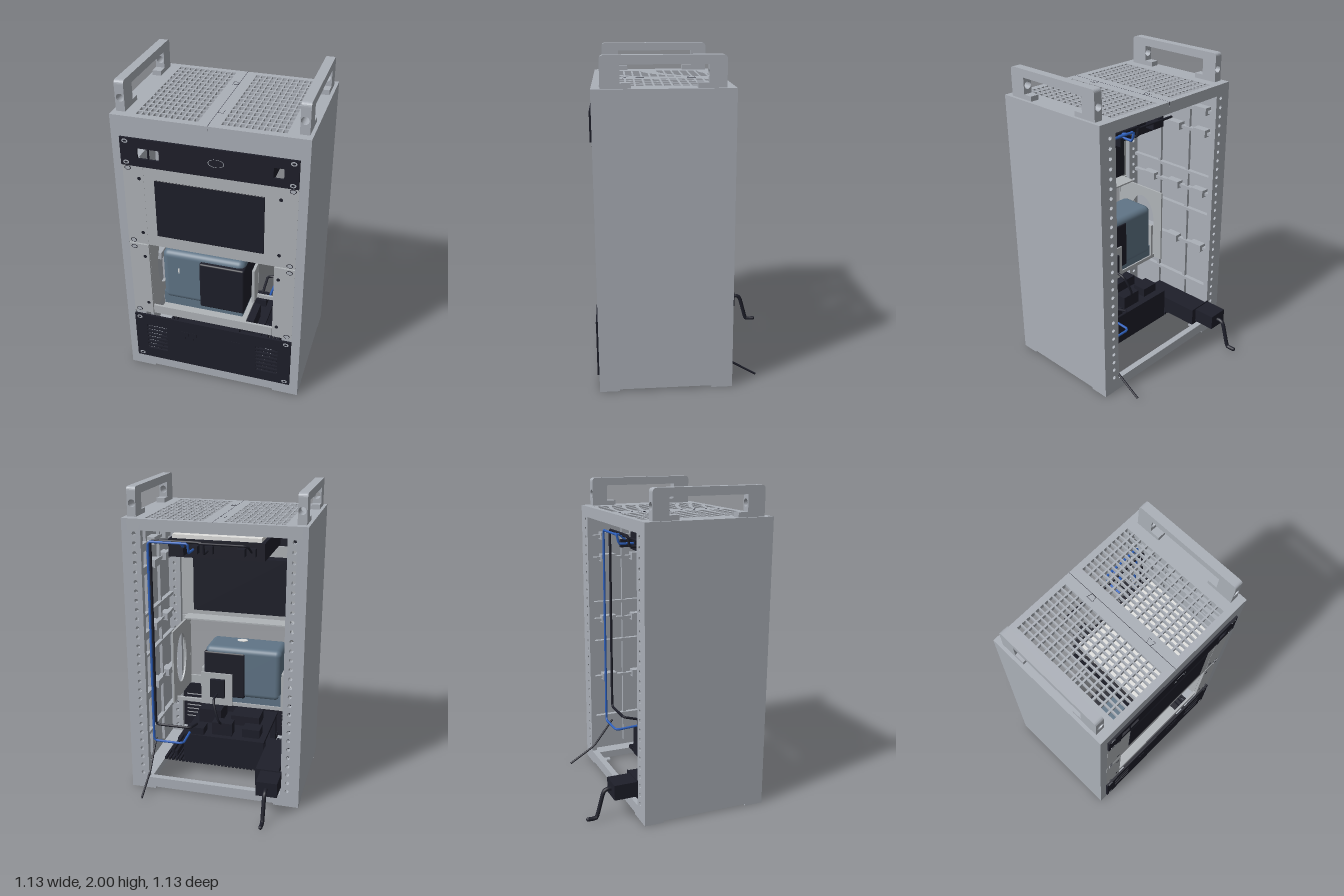
import * as THREE from 'three';
import { RoundedBoxGeometry } from 'three/addons/geometries/RoundedBoxGeometry.js';

const mat = (name, color) => Object.assign(new THREE.MeshStandardMaterial({ color }), { name });
const M = {
  grey: mat('case grey', 0xabb0b8),
  pale: mat('panel grey', 0xb0b4b8),
  black: mat('equipment black', 0x1e1f2a),
  slate: mat('slate blue', 0x607587),
  light: mat('light housing', 0xe2e2e0),
  blue: mat('cable blue', 0x2f62c0),
};

export function createModel() {
  const root = new THREE.Group();
  const add = (name, geo, m) => {
    const mesh = new THREE.Mesh(geo, m);
    mesh.name = name;
    root.add(mesh);
    return mesh;
  };
  // box given by its limits
  const box = (name, m, x0, x1, y0, y1, z0, z1, round = 0) => {
    const s = [x1 - x0, y1 - y0, z1 - z0];
    const g = round ? new RoundedBoxGeometry(...s, 4, round) : new THREE.BoxGeometry(...s);
    return add(name, g.translate((x0 + x1) / 2, (y0 + y1) / 2, (z0 + z1) / 2), m);
  };
  const rect = (x0, x1, y0, y1, T = THREE.Path) => new T([[x0, y0], [x1, y0], [x1, y1], [x0, y1]]
    .map(p => new THREE.Vector2(...p)));
  const oval = (x, y, rx, ry = rx) => {
    const p = new THREE.Path();
    p.absellipse(x, y, rx, ry, 0, Math.PI * 2);
    return p;
  };
  const extrude = (shape, depth, holes = [], curveSegments = 6) => {
    shape.holes.push(...holes);
    return new THREE.ExtrudeGeometry(shape, { depth, bevelEnabled: false, curveSegments });
  };
  // upright plate facing z, with holes
  const plate = (name, m, x0, x1, y0, y1, z0, z1, holes = [], seg = 6) =>
    add(name, extrude(rect(x0, x1, y0, y1, THREE.Shape), z1 - z0, holes, seg).translate(0, 0, z0), m);
  // thin disc whose face sits just in front of z
  const disc = (name, m, x, y, z, r, sx = 1) =>
    add(name, new THREE.CylinderGeometry(r, r, 0.002, 16).rotateX(Math.PI / 2).scale(sx, 1, 1).translate(x, y, z), m);
  const cable = (name, m, r, pts, tension = 0.1) => add(name, new THREE.TubeGeometry(
    new THREE.CatmullRomCurve3(pts.map(p => new THREE.Vector3(...p)), false, 'catmullrom', tension),
    pts.length * 10, r, 8, false), m);
  // mirrored limits along x
  const span = (s, a, b) => (s > 0 ? [a, b] : [-b, -a]);

  // Case walls, rails, ribs and feet
  for (const s of [1, -1]) {
    box('sideWall', M.grey, ...span(s, 0.53, 0.565), 0.012, 1.82, -0.255, 0.55);
    box('frontStile', M.grey, ...span(s, 0.512, 0.53), 0.012, 1.79, 0.5, 0.55);
    const railHoles = () => Array.from({ length: 28 }, (_, i) => oval(s * 0.487, 0.11 + i * 0.06, 0.013));
    plate('rearRail', M.grey, ...span(s, 0.445, 0.53), 0.012, 1.79, -0.255, -0.22, railHoles(), 4);
    plate('frontRail', M.grey, ...span(s, 0.445, 0.512), 0.012, 1.79, 0.5, 0.534, railHoles(), 4);
    for (const y of [0.3, 0.6, 0.86, 1.02, 1.14, 1.45, 1.6])
      box('wallRib', M.grey, ...span(s, 0.5, 0.53), y, y + 0.02, -0.22, 0.5);
    for (const y of [0.6, 1.02, 1.45, 1.6]) for (const z of [-0.1, 0.12, 0.34])
      box('supportBlock', M.grey, ...span(s, 0.475, 0.53), y - 0.01, y + 0.04, z - 0.05, z + 0.05);
    for (const z of [0.02, 0.27])
      box('wallRib', M.grey, ...span(s, 0.51, 0.53), 0.1, 1.78, z - 0.012, z + 0.012);
    for (const [a, b] of [[0.43, 0.55], [-0.255, -0.13]])
      box('foot', M.grey, ...span(s, 0.4, 0.565), 0, 0.012, a, b);
  }
  box('frontLintel', M.grey, -0.512, 0.512, 1.69, 1.79, 0.515, 0.55);
  box('frontSill', M.grey, -0.512, 0.512, 0.012, 0.088, 0.5, 0.55);
  box('rearSill', M.grey, -0.53, 0.53, 0.012, 0.08, -0.255, -0.215);
  box('rearLintel', M.grey, -0.53, 0.53, 1.75, 1.79, -0.255, -0.23);
  box('bottomCrossBar', M.grey, -0.53, 0.53, 0.012, 0.06, 0.24, 0.31);
  for (const s of [1, -1]) box('bottomSideBar', M.grey, ...span(s, 0.44, 0.53), 0.012, 0.06, -0.22, 0.5);

  // Perforated roof in two halves
  for (const s of [1, -1]) {
    const holes = [];
    for (let i = 0; i < 11; i++) for (let j = 0; j < 14; j++) {
      const x = 0.065 + i * 0.0336, z = -0.217 + j * 0.0525;
      holes.push(rect(...span(s, x, x + 0.025), -z - 0.041, -z));
    }
    add('roofHalf', extrude(rect(...span(s, 0.001, 0.53), -0.55, 0.255, THREE.Shape), 0.03, holes)
      .rotateX(-Math.PI / 2).translate(0, 1.79, 0), M.grey);
  }
  box('roofSeam', M.black, -0.001, 0.001, 1.8, 1.8203, -0.255, 0.55);
  for (const [x, z, d] of [[-0.018, -0.058, 1], [0.016, 0.348, -1]]) {
    const outline = (T, w, a, b) => new T([[-w, -a], [w, -b], [w, b], [-w, a]]
      .map(([u, v]) => new THREE.Vector2(u * d, v)));
    add('dovetailOutline', extrude(outline(THREE.Shape, 0.017, 0.024, 0.014), 0.001,
      [outline(THREE.Path, 0.0155, 0.0225, 0.0125)]).rotateX(-Math.PI / 2).translate(x, 1.82, z), M.black);
  }

  // Carrying handles with pierced posts
  for (const s of [1, -1]) {
    const [x0, x1] = span(s, 0.49, 0.545);
    for (const [a, b] of [[0.39, 0.5], [-0.2, -0.1]])
      plate('handlePost', M.grey, x0, x1, 1.82, 1.95, a, b, [oval(s * 0.515, 1.9, 0.023)], 12);
    for (const [a, b] of [[0.33, 0.39], [-0.1, -0.04]])
      box('handleFoot', M.grey, x0, x1, 1.82, 1.85, a, b);
    const bar = new THREE.Shape();
    bar.moveTo(-0.2, 1.95);
    bar.lineTo(0.5, 1.95);
    bar.lineTo(0.5, 1.975);
    bar.quadraticCurveTo(0.5, 2, 0.475, 2);
    bar.lineTo(-0.175, 2);
    bar.quadraticCurveTo(-0.2, 2, -0.2, 1.975);
    add('handleBar', extrude(bar, 0.055).rotateY(-Math.PI / 2).translate(x1, 0, 0), M.grey);
  }

  // Upper control panel, with a light housing held in an open black frame
  plate('upperPanel', M.black, -0.512, 0.512, 1.522, 1.695, 0.55, 0.563,
    [rect(-0.412, -0.35, 1.572, 1.637), rect(-0.343, -0.28, 1.572, 1.637), rect(0.372, 0.43, 1.572, 1.637)]);
  add('portRim', new THREE.TorusGeometry(0.03, 0.002, 6, 24).scale(1.5, 0.8, 1).translate(0.05, 1.61, 0.562), M.grey);
  box('upperHousing', M.light, -0.235, 0.345, 1.555, 1.675, 0.04, 0.53);
  box('upperFrameRear', M.black, -0.26, 0.365, 1.535, 1.65, 0.02, 0.04);
  box('upperFrameRearLip', M.black, -0.26, 0.365, 1.535, 1.55, 0.04, 0.1);
  box('upperFrameFront', M.black, -0.26, 0.365, 1.535, 1.66, 0.53, 0.55);
  for (const [a, b, c, d] of [[-0.26, -0.235, -0.235, -0.19], [0.345, 0.365, 0.3, 0.345]]) {
    box('upperFrameSide', M.black, a, b, 1.535, 1.65, 0.04, 0.53);
    box('upperFrameSideLip', M.black, c, d, 1.535, 1.55, 0.1, 0.53);
  }
  for (const [x, w, z] of [[-0.19, 0.04, -0.02], [-0.12, 0.05, -0.045], [0.1, 0.07, -0.01], [0.18, 0.04, -0.03], [0.24, 0.025, -0.1]])
    box('rearPlug', M.black, x - w / 2, x + w / 2, 1.57, 1.62, z, 0.03);

  // Display unit
  plate('displayPanel', M.pale, -0.402, 0.402, 0.985, 1.522, 0.535, 0.55);
  box('screen', M.black, -0.325, 0.325, 1.06, 1.44, 0.547, 0.553, 0.003);
  box('displayBack', M.black, -0.33, 0.33, 1.055, 1.445, 0.44, 0.535);
  box('displayFlange', M.pale, -0.402, 0.402, 0.985, 0.995, 0.42, 0.535);

  // Open shelf with pierced side plates
  box('shelfFloor', M.pale, -0.35, 0.2, 0.455, 0.467, 0.215, 0.53);
  box('shelfLip', M.pale, -0.385, 0.385, 0.455, 0.515, 0.53, 0.545);
  box('shelfRearBar', M.pale, -0.388, 0.388, 0.455, 0.48, 0.2, 0.215);
  for (const s of [1, -1]) {
    add('shelfSide', extrude(rect(0.14, 0.535, 0.455, 0.98, THREE.Shape), 0.012, [oval(0.32, 0.73, 0.11, 0.18)], 16)
      .rotateY(-Math.PI / 2).translate(s > 0 ? 0.4 : -0.388, 0, 0), M.pale);
    for (const [y0, y1] of [[0.455, 0.978], [0.987, 1.522]]) {
      plate('mountingEar', M.pale, ...span(s, 0.388, 0.512), y0, y1, 0.536, 0.551);
      for (const y of [y0 + 0.018, y1 - 0.022]) {
        disc('slotRim', M.black, s * 0.48, y, 0.551, 0.014, 1.4);
        disc('slotCentre', M.grey, s * 0.48, y, 0.552, 0.011, 1.4);
      }
      for (const y of [y0 + 0.08, y1 - 0.085]) disc('screw', M.black, s * 0.415, y, 0.551, 0.011);
    }
    for (const y of [0.11, 0.415, 1.543, 1.675]) {
      disc('panelScrew', M.grey, s * 0.48, y, 0.563, 0.013, 1.4);
      disc('panelScrewCentre', M.black, s * 0.48, y, 0.564, 0.006, 1.6);
    }
  }

  // Rounded device on the shelf
  box('deviceBody', M.slate, -0.35, 0.182, 0.515, 0.88, 0.2, 0.45, 0.04);
  box('deviceBase', M.slate, -0.35, 0.17, 0.467, 0.56, 0.21, 0.44);
  box('deviceFront', M.black, -0.1, 0.186, 0.517, 0.845, 0.195, 0.475, 0.012);
  box('statusLight', M.light, -0.245, -0.237, 0.73, 0.765, 0.448, 0.453);
  add('deviceButton', new THREE.CylinderGeometry(0.025, 0.025, 0.008, 20).scale(1.5, 1, 1).translate(-0.045, 0.88, 0.37), M.light);
  for (const [a, b] of [[-0.37, -0.352], [0.187, 0.205]])
    box('deviceBracket', M.pale, a, b, 0.467, 0.72, 0.2, 0.29);
  box('deviceRearPlate', M.pale, -0.02, 0.2, 0.467, 0.7, 0.165, 0.175);

  // Lower vented panel and electronics tray
  const slots = [];
  for (const [a, b] of [[-0.435, -0.3], [0.29, 0.43]])
    for (let i = 0; i < 7; i++) slots.push(rect(a, b, 0.16 + i * 0.03, 0.175 + i * 0.03));
  plate('lowerPanel', M.black, -0.512, 0.512, 0.087, 0.437, 0.55, 0.563, slots);
  for (const x of [-0.15, 0.14]) for (let i = 0; i < 6; i++)
    box('portRidge', M.black, x - 0.05 + i * 0.018, x - 0.04 + i * 0.018, 0.3, 0.355, 0.56, 0.565);
  for (let i = 0; i < 34; i++) {
    const x = -0.42 + i * 0.0255;
    for (const [a, b] of [[0.02, 0.235], [0.315, 0.5]]) box('traySlat', M.black, x - 0.008, x + 0.008, 0.07, 0.09, a, b);
  }
  for (const [a, b, z0, z1] of [[0.345, 0.365, 0.05, 0.52], [0.378, 0.395, 0.08, 0.5], [-0.385, -0.37, 0.22, 0.44]])
    box('trayRail', M.black, a, b, 0.09, 0.13, z0, z1);
  box('trayDeck', M.black, -0.28, 0.28, 0.09, 0.12, 0.0, 0.55);
  box('trayRearWall', M.black, -0.28, 0.28, 0.12, 0.28, 0.0, 0.015);
  box('circuitBoard', M.black, -0.28, 0.28, 0.28, 0.3, 0.0, 0.5);
  for (const x of [-0.26, 0, 0.26]) for (const z of [0.05, 0.45])
    box('boardPost', M.black, x - 0.02, x + 0.02, 0.12, 0.28, z - 0.02, z + 0.02);
  for (const [x, z, w, d, h] of [[-0.18, 0.1, 0.12, 0.1, 0.06], [0.02, 0.08, 0.14, 0.08, 0.09], [0.19, 0.06, 0.1, 0.1, 0.05],
    [-0.1, 0.3, 0.2, 0.16, 0.07], [0.15, 0.3, 0.16, 0.18, 0.1], [0, 0.45, 0.3, 0.06, 0.05]])
    box('boardComponent', M.black, x - w / 2, x + w / 2, 0.3, 0.3 + h, z - d / 2, z + d / 2);

  // Power unit and bent lead at the rear
  box('powerUnit', M.black, -0.43, -0.28, 0.13, 0.245, -0.258, 0.18);
  box('rearPlugBody', M.black, -0.45, -0.315, 0.145, 0.242, -0.405, -0.25);
  box('rearPlugFlange', M.black, -0.45, -0.28, 0.13, 0.25, -0.26, -0.255);
  cable('bentLead', M.black, 0.013, [[-0.38, 0.195, -0.4], [-0.38, 0.195, -0.43], [-0.38, 0.17, -0.455],
    [-0.38, 0.03, -0.495], [-0.38, 0.015, -0.515], [-0.38, 0.015, -0.555]], 0.4);
  add('leadTip', new THREE.SphereGeometry(0.013, 12, 8).translate(-0.38, 0.015, -0.553), M.black);
  cable('thinLead', M.black, 0.007, [[0.443, 0.3, -0.1], [0.443, 0.12, -0.24], [0.443, 0.01, -0.42]]);

  // Internal cabling along the rear rail
  cable('blueCable', M.blue, 0.008, [[0.185, 1.6, -0.03], [0.185, 1.6, -0.13], [0.185, 1.66, -0.145], [0.24, 1.66, -0.145],
    [0.43, 1.66, -0.145], [0.442, 1.64, -0.145], [0.442, 0.32, -0.145], [0.43, 0.302, -0.145], [0.26, 0.302, -0.145],
    [0.24, 0.302, -0.13], [0.24, 0.31, 0.03]], 0.02);
  cable('secondBlueLead', M.blue, 0.008, [[0.24, 1.66, -0.145], [0.24, 1.65, -0.1], [0.24, 1.61, -0.06]]);
  cable('blackCable', M.black, 0.009, [[0.1, 1.59, 0], [0.1, 1.59, -0.09], [0.1, 1.655, -0.1], [0.12, 1.66, -0.1],
    [0.43, 1.66, -0.1], [0.442, 1.64, -0.1], [0.442, 0.42, -0.1], [0.43, 0.4, -0.1], [0.22, 0.4, -0.1],
    [0.2, 0.4, -0.09], [0.2, 0.36, 0.05]], 0.02);
  cable('crossCable', M.black, 0.007, [[0.12, 1.66, -0.125], [-0.16, 1.66, -0.125],
    [-0.185, 1.65, -0.11], [-0.185, 1.59, 0]], 0.1);
  box('deviceAdapter', M.black, 0.03, 0.13, 0.53, 0.66, 0.14, 0.165);
  cable('deviceCable', M.black, 0.008, [[0.08, 0.56, 0.15], [0.08, 0.54, 0.05], [0.04, 0.42, 0.02], [0.02, 0.36, 0.08]], 0.5);

  return root;
}
